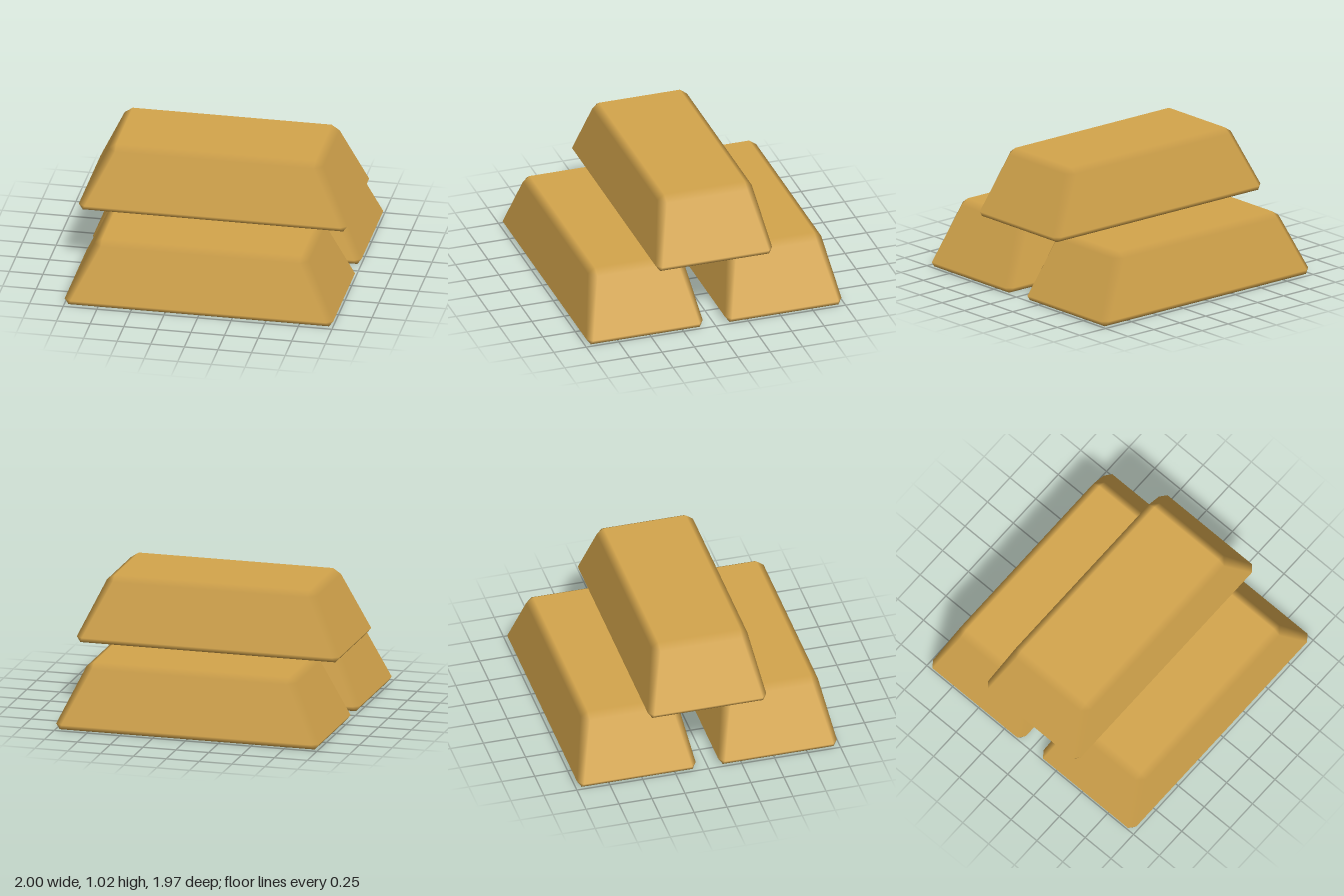
import * as THREE from 'three';

// Cross-section levels: height, half length, half width, vertical-edge chamfer in x and z
const LEVELS = [
  { y: 0, hx: 0.97, hz: 0.42, cx: 0, cz: 0, cap: -1 },
  { y: 0.04, hx: 1, hz: 0.45, cx: 0.05, cz: 0.04, cap: 0 },
  { y: 0.46, hx: 0.8, hz: 0.365, cx: 0.06, cz: 0.055, cap: 0 },
  { y: 0.5, hx: 0.74, hz: 0.31, cx: 0, cz: 0, cap: 1 },
];
// Corners counterclockwise from above; each gives one point on its x side and one on its z side
const CORNERS = [[1, -1], [-1, -1], [-1, 1], [1, 1]];

// Tapered ingot with chamfered edges: flat faces, normals blended across the chamfers
function ingotGeometry() {
  const positions = [], normals = [], index = [];
  const n = new THREE.Vector3();
  for (const { y, hx, hz, cx, cz, cap } of LEVELS) {
    CORNERS.forEach(([sx, sz], i) => {
      for (const onX of i % 2 ? [false, true] : [true, false]) {
        positions.push(sx * (onX ? hx : hx - cx), y, sz * (onX ? hz - cz : hz));
        if (cap) n.set(0, cap, 0);
        else if (onX) n.set(sx * 0.42, 0.2, 0).normalize();
        else n.set(0, 0.085, sz * 0.42).normalize();
        normals.push(n.x, n.y, n.z);
      }
    });
  }
  // Sides and chamfers
  for (let r = 0; r < LEVELS.length - 1; r++) {
    for (let j = 0; j < 8; j++) {
      const a = r * 8 + j, b = r * 8 + (j + 1) % 8;
      index.push(a, b, b + 8, a, b + 8, a + 8);
    }
  }
  // Bottom and top faces
  index.push(0, 4, 2, 0, 6, 4, 24, 26, 28, 24, 28, 30);

  const geometry = new THREE.BufferGeometry();
  geometry.setAttribute('position', new THREE.Float32BufferAttribute(positions, 3));
  geometry.setAttribute('normal', new THREE.Float32BufferAttribute(normals, 3));
  geometry.setIndex(index);
  return geometry;
}

export function createModel() {
  const group = new THREE.Group();
  group.name = 'ingotStack';
  const geometry = ingotGeometry();
  const gold = new THREE.MeshStandardMaterial({ color: 0xd4a54c });

  // Two bars side by side, one resting above the gap
  const bars = [
    ['frontIngot', 0, 0.535],
    ['backIngot', 0, -0.535],
    ['topIngot', 0.516, 0],
  ];
  for (const [name, y, z] of bars) {
    const bar = new THREE.Mesh(geometry, gold);
    bar.name = name;
    bar.position.set(0, y, z);
    group.add(bar);
  }
  return group;
}
